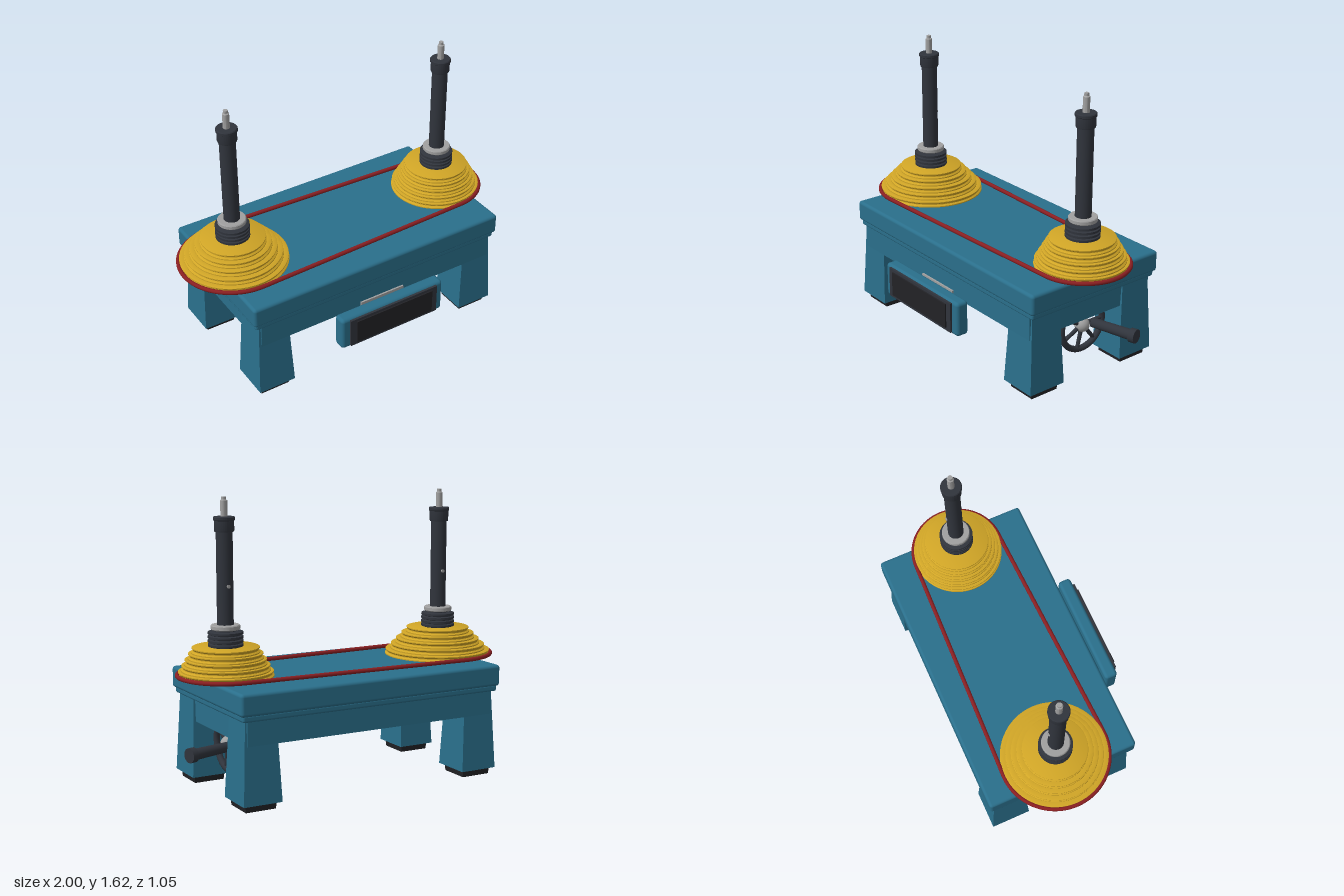
import * as THREE from 'three';
import { RoundedBoxGeometry } from 'three/addons/geometries/RoundedBoxGeometry.js';
import { toCreasedNormals } from 'three/addons/utils/BufferGeometryUtils.js';

const mat = (color) => new THREE.MeshStandardMaterial({ color });
const teal = mat(0x2a6f8b), gold = mat(0xd0a526), dark = mat(0x30343c);
const black = mat(0x222226), steel = mat(0xa0a0a0), red = mat(0x8a1f22);
const CX = 0.013, CZ = -0.075;

function add(parent, name, geometry, material, x = 0, y = 0, z = 0) {
  const mesh = new THREE.Mesh(geometry, material);
  mesh.name = name;
  mesh.position.set(x, y, z);
  parent.add(mesh);
  return mesh;
}

// Box or rounded box given by its min and max on each axis
function block(parent, name, material, [x0, x1], [y0, y1], [z0, z1], radius = 0) {
  const s = [x1 - x0, y1 - y0, z1 - z0];
  const g = radius ? new RoundedBoxGeometry(...s, 3, radius) : new THREE.BoxGeometry(...s);
  return add(parent, name, g, material, (x0 + x1) / 2, (y0 + y1) / 2, (z0 + z1) / 2);
}

function cylinder(parent, name, material, r, y0, y1, rTop = r) {
  return add(parent, name, new THREE.CylinderGeometry(rTop, r, y1 - y0, 40), material, 0, (y0 + y1) / 2, 0);
}

function lathe(parent, name, material, points) {
  const g = new THREE.LatheGeometry(points.map(([r, y]) => new THREE.Vector2(r, y)), 64);
  return add(parent, name, toCreasedNormals(g, 0.5), material);
}

// Box whose bottom face is scaled relative to its top
function taperedBox(w, h, d, scale) {
  const g = new THREE.BoxGeometry(w, h, d);
  const p = g.attributes.position;
  for (let i = 0; i < p.count; i++) {
    if (p.getY(i) < 0) p.setXYZ(i, p.getX(i) * scale, p.getY(i), p.getZ(i) * scale);
  }
  g.computeVertexNormals();
  return g;
}

// Stepped pulley with a spindle standing on it
function spindle(name, x, rBottom, rTop) {
  const s = new THREE.Group();
  s.name = name;
  s.position.set(x, 0, CZ);
  cylinder(s, 'bearingFlange', dark, 0.13, 0.63, 0.655);

  const steps = 5, y0 = 0.648, h = 0.0325;
  const profile = [[0, y0]];
  for (let i = 0; i < steps; i++) {
    const r = THREE.MathUtils.lerp(rBottom, rTop, i / (steps - 1));
    const y = y0 + i * h;
    profile.push([r, y], [r, y + 0.006], [r - 0.01, y + 0.013], [r - 0.01, y + 0.018],
      [r - 0.003, y + 0.025], [r - 0.003, y + h - 0.002], [r - 0.007, y + h]);
  }
  profile.push([0, y0 + steps * h]);
  lathe(s, 'steppedPulley', gold, profile);

  // Ribbed collar
  const ribs = [[0, 0.808]];
  for (let i = 0; i < 4; i++) {
    const y = 0.81 + i * 0.022;
    ribs.push([0.084, y], [0.096, y + 0.004], [0.096, y + 0.016], [0.084, y + 0.02]);
  }
  ribs.push([0, 0.897]);
  lathe(s, 'ribbedCollar', dark, ribs);
  cylinder(s, 'collarNeck', dark, 0.06, 0.89, 0.91);
  lathe(s, 'washer', steel, [[0, 0.903], [0.076, 0.903], [0.08, 0.908], [0.08, 0.925], [0.076, 0.93], [0, 0.93]]);
  cylinder(s, 'column', dark, 0.045, 0.92, 1.44);
  lathe(s, 'columnCap', dark, [[0, 1.43], [0.052, 1.43], [0.054, 1.437], [0.054, 1.488],
    [0.059, 1.492], [0.059, 1.505], [0.055, 1.51], [0, 1.51]]);
  lathe(s, 'spindleTip', steel, [[0, 1.5], [0.019, 1.5], [0.019, 1.595], [0.013, 1.6], [0.013, 1.615], [0, 1.615]]);
  const screw = add(s, 'setScrew', new THREE.CylinderGeometry(0.01, 0.01, 0.012, 16), steel, 0, 1.14, -0.045);
  screw.rotation.x = Math.PI / 2;
  return s;
}

// Belt path: two arcs joined by their outer tangents
function beltGeometry(xa, ra, xb, rb, y) {
  const t = Math.acos((ra - rb) / (xb - xa));
  const pts = [];
  const arc = (x, r, from, to) => {
    for (let i = 0; i <= 32; i++) {
      const a = from + (to - from) * i / 32;
      pts.push(new THREE.Vector3(x + r * Math.cos(a), y, CZ + r * Math.sin(a)));
    }
  };
  const straight = (ax, ar, bx, br, a) => {
    for (let i = 1; i < 12; i++) {
      const k = i / 12, r = ar + (br - ar) * k;
      pts.push(new THREE.Vector3(ax + (bx - ax) * k + r * Math.cos(a), y, CZ + r * Math.sin(a)));
    }
  };
  arc(xa, ra, t, 2 * Math.PI - t);
  straight(xa, ra, xb, rb, -t);
  arc(xb, rb, -t, t);
  straight(xb, rb, xa, ra, t);
  return new THREE.TubeGeometry(new THREE.CatmullRomCurve3(pts, true), 260, 0.012, 10, true);
}

function handwheel() {
  const w = new THREE.Group();
  w.name = 'handwheel';
  w.position.set(0.7, 0.275, -0.09);
  const rim = add(w, 'wheelRim', new THREE.TorusGeometry(0.148, 0.018, 14, 56), dark);
  rim.rotation.y = Math.PI / 2;
  for (let i = 0; i < 7; i++) {
    const arm = new THREE.Group();
    arm.rotation.x = -Math.PI / 2 + i * 2 * Math.PI / 7;
    add(arm, 'wheelSpoke', new THREE.CylinderGeometry(0.011, 0.013, 0.145, 12), dark, 0, 0.0725, 0);
    w.add(arm);
  }
  add(w, 'wheelHub', new THREE.SphereGeometry(0.043, 28, 18), steel);
  const shaft = add(w, 'wheelShaft', new THREE.CylinderGeometry(0.019, 0.019, 0.24, 24), steel, -0.12, 0, 0);
  shaft.rotation.z = Math.PI / 2;

  // Crank handle, leaning slightly to the back
  const handle = new THREE.Group();
  handle.name = 'crankHandle';
  handle.position.set(0.02, 0, -0.06);
  handle.quaternion.setFromUnitVectors(new THREE.Vector3(0, 1, 0), new THREE.Vector3(0.27, 0, -0.075).normalize());
  cylinder(handle, 'handleGrip', dark, 0.027, 0, 0.26, 0.031);
  cylinder(handle, 'handleKnob', dark, 0.04, 0.245, 0.28);
  w.add(handle);
  return w;
}

export function createModel() {
  const model = new THREE.Group();
  model.name = 'beltDriveTable';

  // Table top, lip and open-bottomed apron
  block(model, 'tableTop', teal, [-0.803, 0.827], [0.518, 0.64], [-0.527, 0.378], 0.018);
  block(model, 'tableLip', teal, [-0.79, 0.812], [0.487, 0.525], [-0.513, 0.365], 0.012);
  const ax = [-0.755, 0.783], az = [-0.503, 0.358], ay = [0.357, 0.495], t = 0.035;
  block(model, 'frontApron', teal, ax, ay, [az[1] - t, az[1]]);
  block(model, 'backApron', teal, ax, ay, [az[0], az[0] + t]);
  block(model, 'rightApron', teal, [ax[0], ax[0] + t], ay, az);
  block(model, 'leftApron', teal, [ax[1] - t, ax[1]], ay, az);

  // Legs and feet
  for (const sx of [-1, 1]) for (const sz of [-1, 1]) {
    const x = CX + sx * 0.687, z = -0.071 + sz * 0.324;
    add(model, 'leg', taperedBox(0.182, 0.45, 0.19, 1.235), teal, x, 0.265, z);
    add(model, 'foot', taperedBox(0.184, 0.042, 0.184, 0.95), black, x, 0.021, z);
  }

  // Control panel and small plate behind it
  block(model, 'panelHousing', teal, [-0.33, 0.35], [0.24, 0.443], [0.427, 0.505], 0.02);
  block(model, 'panelBezel', dark, [-0.28, 0.302], [0.255, 0.432], [0.49, 0.517]);
  block(model, 'panelScreen', black, [-0.243, 0.265], [0.273, 0.417], [0.5, 0.525]);
  block(model, 'plate', steel, [-0.13, 0.155], [0.37, 0.415], [0.383, 0.393]);

  // Pulleys, belt and handwheel
  const xa = -0.675, xb = 0.7;
  model.add(spindle('rightSpindle', xa, 0.308, 0.185));
  model.add(spindle('leftSpindle', xb, 0.262, 0.187));
  add(model, 'belt', beltGeometry(xa, 0.311, xb, 0.264, 0.657), red);
  model.add(handwheel());
  return model;
}
